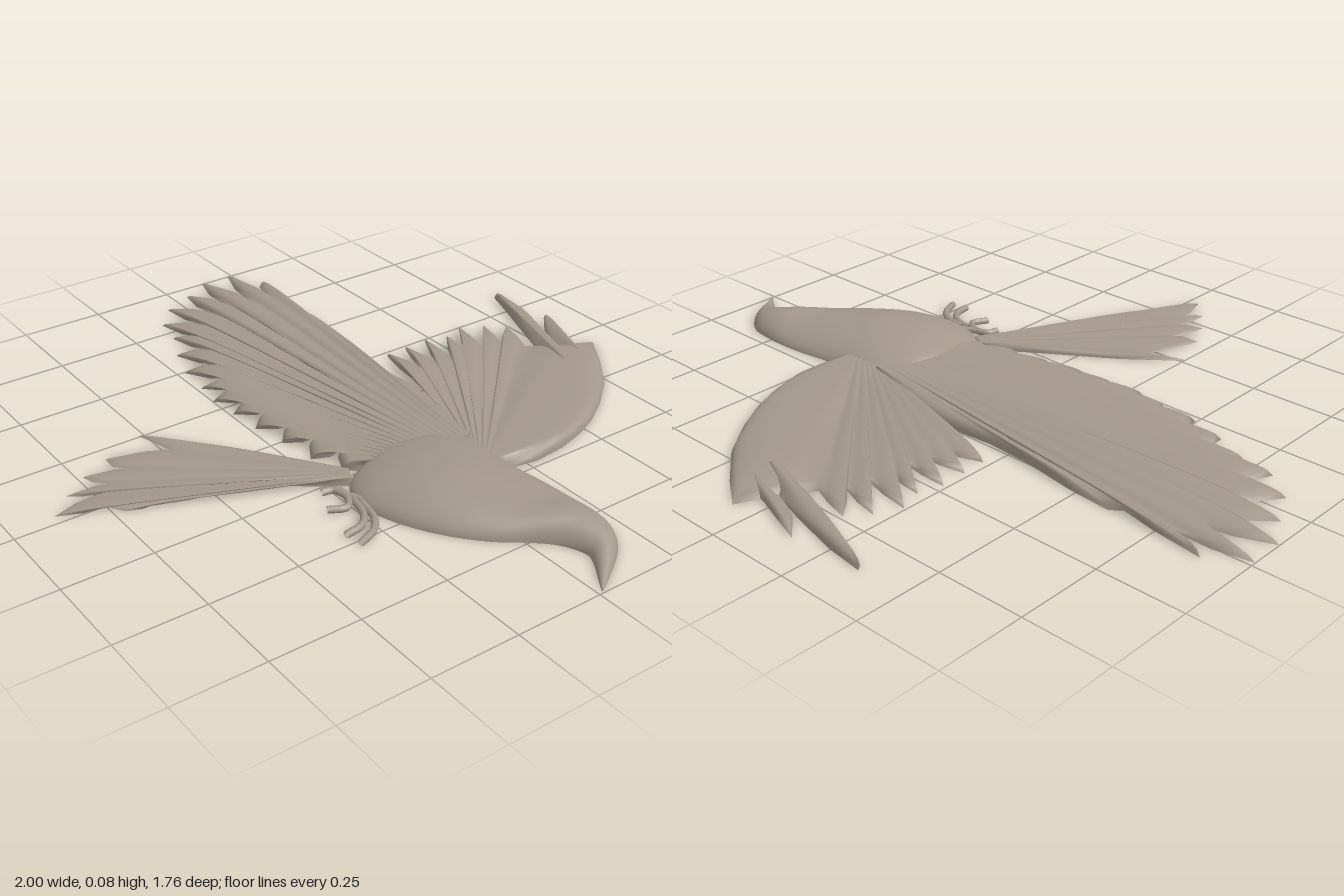
import * as THREE from 'three';

const plumage = new THREE.MeshStandardMaterial({ color: 0xa3978a, side: THREE.DoubleSide });
plumage.name = 'plumage taupe';

const mix = (a, b, t) => a + (b - a) * t;

// Smooth surface from a rows x cols grid of points
function gridMesh(name, rows, cols, pointAt) {
  const pos = [], index = [];
  for (let i = 0; i < rows; i++) for (let j = 0; j < cols; j++) {
    pos.push(...pointAt(i, j));
    if (i && j) {
      const d = i * cols + j, c = d - 1, b = d - cols, a = b - 1;
      index.push(a, b, c, b, d, c);
    }
  }
  const geo = new THREE.BufferGeometry();
  geo.setAttribute('position', new THREE.Float32BufferAttribute(pos, 3));
  geo.setIndex(index);
  geo.computeVertexNormals();
  const mesh = new THREE.Mesh(geo, plumage);
  mesh.name = name;
  return mesh;
}

// Rounded feather ends from alternating notch, tip, notch ... points;
// the third value marks the valley between feathers
function comb(pts, length = 0.5, taper = 0.15) {
  const out = [];
  for (let i = 0; i + 2 < pts.length; i += 2) {
    const [n1, t, n2] = pts.slice(i, i + 3);
    const m = [(n1[0] + n2[0]) / 2, (n1[1] + n2[1]) / 2];
    const side = n => [0, 1].map(k => n[k] + (t[k] - m[k]) * length + (m[k] - n[k]) * taper);
    out.push([...n1, 1], [...side(n1), 0.35], [...t, 0], [...side(n2), 0.35]);
  }
  out.push([...pts[pts.length - 1], 1]);
  return out;
}

// Hollow feathered fan spread from a root line to an outer edge
const STEPS = [0, 0.12, 0.25, 0.4, 0.55, 0.68, 0.78, 0.86, 0.92, 0.96, 0.985, 1];
function fan(name, rootA, rootB, edge, rootH, tipH) {
  const n = edge.length;
  return gridMesh(name, n, STEPS.length, (i, j) => {
    const u = i / (n - 1), v = STEPS[j];
    const [ex, ez, valley = 0] = edge[i];
    const rim = Math.sqrt(Math.max(0, 1 - v ** 10));
    const flank = Math.min(1, Math.min(i, n - 1 - i) / 2);
    const y = mix(rootH, tipH, v) * rim * flank * (1 - 0.32 * valley * Math.min(1, v * 2));
    return [mix(mix(rootA[0], rootB[0], u), ex, v), y, mix(mix(rootA[1], rootB[1], u), ez, v)];
  });
}

function createBody() {
  // Sections: back x, z, belly x, z, height
  const sections = [
    [0.235, -0.10, 0.25, 0.14, 0.042], [0.27, -0.19, 0.285, 0.195, 0.054],
    [0.36, -0.205, 0.37, 0.228, 0.072], [0.48, -0.197, 0.485, 0.203, 0.081],
    [0.60, -0.212, 0.60, 0.142, 0.072], [0.69, -0.218, 0.69, 0.066, 0.064],
    [0.77, -0.215, 0.755, -0.015, 0.067], [0.835, -0.205, 0.805, -0.062, 0.058],
    [0.89, -0.17, 0.87, -0.087, 0.04], [0.93, -0.12, 0.91, -0.07, 0.025],
    [0.965, -0.065, 0.95, -0.042, 0.013], [0.997, -0.014, 0.994, -0.012, 0.002],
  ];
  const back = new THREE.CatmullRomCurve3(sections.map(s => new THREE.Vector3(s[0], s[4], s[1])));
  const belly = new THREE.CatmullRomCurve3(sections.map(s => new THREE.Vector3(s[2], s[4], s[3])));
  const rows = 56, cols = 25;
  return gridMesh('body', rows, cols, (i, j) => {
    const a = back.getPoint(i / (rows - 1)), b = belly.getPoint(i / (rows - 1));
    const angle = Math.PI * j / (cols - 1), t = (1 - Math.cos(angle)) / 2;
    return [mix(a.x, b.x, t), a.y * Math.max(0, Math.sin(angle)) ** 1.15, mix(a.z, b.z, t)];
  });
}

function createFoot() {
  const foot = new THREE.Group();
  foot.name = 'foot';
  const toes = [
    [[0.38, 0.21], [0.33, 0.235], [0.29, 0.25], [0.282, 0.28]],
    [[0.30, 0.235], [0.35, 0.245], [0.375, 0.27], [0.355, 0.315]],
    [[0.36, 0.235], [0.42, 0.25], [0.46, 0.285], [0.472, 0.34]],
    [[0.38, 0.225], [0.45, 0.24], [0.495, 0.275], [0.52, 0.33]],
  ];
  for (const toe of toes) {
    const path = new THREE.CatmullRomCurve3(toe.map(([x, z]) => new THREE.Vector3(x, 0.01, z)));
    const mesh = new THREE.Mesh(new THREE.TubeGeometry(path, 14, 0.01, 8), plumage);
    mesh.name = 'toe';
    foot.add(mesh);
  }
  return foot;
}

export function createModel() {
  const bird = new THREE.Group();
  bird.name = 'bird relief';
  bird.add(createBody(), createFoot());

  // Far wing, raised behind the back
  bird.add(fan('farWing', [0.46, -0.17], [0.29, -0.17], [
    [0.465, -0.2], [0.48, -0.28], [0.47, -0.38], [0.445, -0.47], [0.41, -0.55], [0.36, -0.63],
    [0.28, -0.73], [0.17, -0.82], [0.075, -0.885], [0.035, -0.8], [0.0, -0.74],
    ...comb([
      [-0.03, -0.7], [-0.165, -0.74], [-0.075, -0.65], [-0.21, -0.685], [-0.085, -0.585],
      [-0.245, -0.615], [-0.1, -0.525], [-0.22, -0.545], [-0.1, -0.465], [-0.24, -0.475],
      [-0.1, -0.41], [-0.235, -0.395], [-0.11, -0.355], [-0.23, -0.322], [-0.08, -0.295],
    ], 0.45, 0.3),
    [0.1, -0.258], [0.27, -0.21],
  ], 0.036, 0.03));
  bird.add(fan('farWingLongFeather', [0.12, -0.74], [0.15, -0.68], [
    [0.02, -0.785], [-0.1, -0.82], [-0.25, -0.855], [-0.36, -0.868], [-0.35, -0.853],
    [-0.26, -0.82], [-0.12, -0.765], [0.05, -0.7],
  ], 0.032, 0.03));
  bird.add(fan('farWingShortFeather', [0.1, -0.81], [0.12, -0.76], [
    [0.03, -0.825], [-0.06, -0.855], [-0.145, -0.882], [-0.08, -0.825], [0, -0.785],
  ], 0.031, 0.028));

  // Near wing, swept back
  bird.add(fan('nearWing', [0.32, -0.19], [0.28, 0.1], [
    [0.28, -0.212], [0.12, -0.23], [-0.05, -0.25], [-0.18, -0.24], [-0.315, -0.248], [-0.48, -0.275],
    [-0.61, -0.285],
    ...comb([
      [-0.64, -0.26], [-0.895, -0.303], [-0.79, -0.255], [-1, -0.235], [-0.8, -0.192],
      [-1, -0.135], [-0.82, -0.115], [-0.945, -0.045], [-0.79, -0.045], [-0.895, 0.055],
      [-0.73, 0.015], [-0.81, 0.125], [-0.655, 0.065], [-0.71, 0.143], [-0.575, 0.095],
      [-0.605, 0.192], [-0.48, 0.12], [-0.495, 0.227], [-0.385, 0.135], [-0.385, 0.237],
      [-0.325, 0.15], [-0.3, 0.25], [-0.24, 0.155], [-0.205, 0.242], [-0.155, 0.147],
      [-0.1, 0.236], [-0.06, 0.135], [0.005, 0.217], [0.035, 0.125], [0.12, 0.202],
      [0.13, 0.11], [0.215, 0.165], [0.23, 0.105],
    ]),
    [0.27, 0.11],
  ], 0.042, 0.03));

  // Fanned tail
  bird.add(fan('tail', [0.24, 0.165], [0.29, 0.19], [
    [0.21, 0.185], [0.085, 0.27], [-0.1, 0.39], [-0.255, 0.515],
    ...comb([
      [-0.14, 0.48], [-0.2, 0.645], [-0.12, 0.61], [-0.155, 0.735], [-0.09, 0.69],
      [-0.1, 0.81], [-0.06, 0.735], [-0.033, 0.878], [0.005, 0.74], [0.05, 0.72], [0.065, 0.66],
    ], 0.5, 0.2),
    [0.1, 0.565], [0.125, 0.46], [0.175, 0.35], [0.275, 0.215],
  ], 0.022, 0.012));
  return bird;
}
